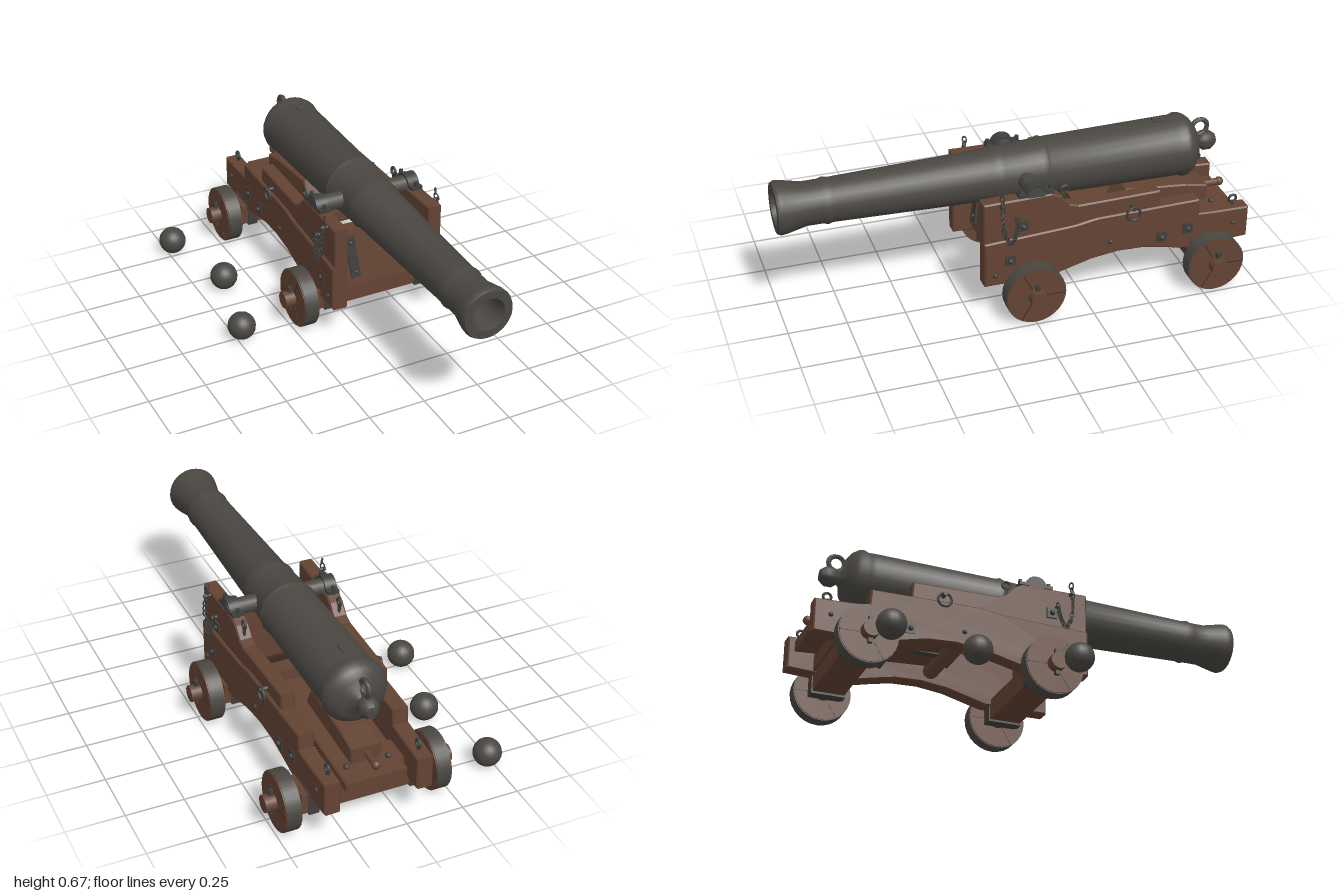
import * as THREE from 'three';
import { toCreasedNormals } from 'three/addons/utils/BufferGeometryUtils.js';

const CX = 0.127; // centre line of the gun
const mat = (name, color) => Object.assign(new THREE.MeshStandardMaterial({ color }), { name });

export function createModel() {
  const model = new THREE.Group();
  const wood = mat('wood', 0x634333);
  const seam = mat('dark wood seam', 0x3c2a20);
  const iron = mat('iron', 0x4a4742);
  const fitting = mat('dark iron fittings', 0x3e3e3c);

  const add = (parent, name, geo, material, x = 0, y = 0, z = 0) => {
    const m = new THREE.Mesh(geo, material);
    m.name = name;
    m.position.set(x, y, z);
    parent.add(m);
    return m;
  };
  const group = (parent, name, x = 0, y = 0, z = 0) => {
    const g = new THREE.Group();
    g.name = name;
    g.position.set(x, y, z);
    parent.add(g);
    return g;
  };
  const box = (w, h, d) => new THREE.BoxGeometry(w, h, d);
  const rodX = (r, len, n = 16) => new THREE.CylinderGeometry(r, r, len, n).rotateZ(Math.PI / 2);
  const ringX = (r, t) => new THREE.TorusGeometry(r, t, 6, 14).rotateY(Math.PI / 2);
  // Side outline given as (z, y) pairs, extruded across x and centred
  const slab = (points, width, bevel = 0.006) => {
    const shape = new THREE.Shape(points.map(([z, y]) => new THREE.Vector2(z, y)));
    const depth = width - 2 * bevel;
    return new THREE.ExtrudeGeometry(shape, {
      depth, bevelEnabled: bevel > 0, bevelThickness: bevel, bevelSize: bevel, bevelOffset: -bevel, bevelSegments: 1,
    }).translate(0, 0, -depth / 2).rotateY(-Math.PI / 2);
  };

  const gun = group(model, 'gun', CX, 0.53, 0);
  // Barrel turned from knob to muzzle, then back down the bore
  const profile = [
    [0, -0.93], [0.025, -0.925], [0.043, -0.9], [0.043, -0.87], [0.028, -0.85], [0.04, -0.835],
    [0.09, -0.82], [0.12, -0.798], [0.135, -0.775], [0.139, -0.755], [0.131, -0.735], [0.132, -0.71],
    [0.124, -0.15], [0.13, -0.135], [0.122, -0.115], [0.115, 0.05], [0.119, 0.07], [0.111, 0.09],
    [0.093, 0.77], [0.098, 0.79], [0.092, 0.81], [0.092, 0.88], [0.111, 0.965], [0.113, 0.985],
    [0.106, 1], [0.072, 1], [0.064, 0.97], [0.057, 0.5], [0, 0.5],
  ].map(([r, z]) => new THREE.Vector2(r, z));
  add(gun, 'barrel', toCreasedNormals(new THREE.LatheGeometry(profile, 28).rotateX(Math.PI / 2), 0.7), iron);
  add(gun, 'trunnions', rodX(0.037, 0.49), iron, 0, 0.008, -0.035);
  add(gun, 'breechLoop', ringX(0.035, 0.011), iron, 0, 0.068, -0.855);
  add(gun, 'ventPatch', box(0.03, 0.012, 0.05), iron, 0, 0.131, -0.66);

  // Stepped side cheeks: lower and upper planks
  const lowerPlank = [
    [0.195, 0.15], [0.195, 0.355], [-0.2, 0.37], [-0.3, 0.385], [-0.765, 0.385], [-0.77, 0.315], [-0.84, 0.31],
    [-1, 0.305], [-1, 0.16], [-0.72, 0.15], [-0.62, 0.175], [-0.52, 0.197], [-0.4, 0.203], [-0.28, 0.19],
    [-0.18, 0.165], [-0.1, 0.145],
  ].reverse();
  const upperPlank = [
    [0.195, 0.352], [0.195, 0.535], [-0.1, 0.535], [-0.14, 0.515], [-0.18, 0.47], [-0.22, 0.457],
    [-0.585, 0.457], [-0.59, 0.382], [-0.3, 0.382], [-0.2, 0.366],
  ].reverse();
  const chainCurve = new THREE.CatmullRomCurve3([
    [0, 0.56, 0.12], [0.012, 0.47, 0.122], [0.014, 0.39, 0.11], [0.018, 0.355, 0.085], [0.014, 0.4, 0.062], [0.006, 0.45, 0.055],
  ].map((p) => new THREE.Vector3(...p)));
  const up = new THREE.Vector3(0, 1, 0);

  for (const s of [-1, 1]) {
    const side = group(model, s > 0 ? 'leftCheek' : 'rightCheek', CX + s * 0.219, 0, 0);
    side.rotation.y = s * 0.026;
    add(side, 'lowerPlank', slab(lowerPlank, 0.07), wood, s * 0.005);
    add(side, 'upperPlank', slab(upperPlank, 0.062), wood, -s * 0.002);
    const face = s * 0.04;

    // Cap over the trunnion: arched strap with two flat feet
    const cap = new THREE.Shape();
    cap.moveTo(0.075, 0);
    cap.lineTo(0.075, 0.014);
    cap.lineTo(0.047, 0.014);
    cap.absarc(0, 0, 0.049, 0.3, Math.PI - 0.3, false);
    cap.lineTo(-0.075, 0.014);
    cap.lineTo(-0.075, 0);
    const capGeo = new THREE.ExtrudeGeometry(cap, { depth: 0.052, bevelEnabled: false, curveSegments: 10 });
    add(side, 'trunnionCap', capGeo.translate(0, 0, -0.026).rotateY(-Math.PI / 2), fitting, 0, 0.536, -0.035);
    for (const z of [0.03, -0.1]) add(side, 'capBolt', new THREE.CylinderGeometry(0.009, 0.009, 0.05, 8), fitting, 0, 0.545, z);

    // Square washers with round bolt heads on the outer face
    for (const [z, y] of [[0.03, 0.415], [0.085, 0.26], [-0.595, 0.235], [-0.715, 0.255]]) {
      const plate = add(side, 'washer', box(0.009, 0.046, 0.046), fitting, face, y, z);
      add(plate, 'boltHead', new THREE.SphereGeometry(0.012, 8, 6), fitting, s * 0.006);
    }
    for (const [z, y] of [[-0.36, 0.26], [-0.93, 0.24], [0.15, 0.2]]) {
      add(side, 'rivet', new THREE.SphereGeometry(0.011, 8, 6), fitting, face, y, z);
    }
    // Tackle rings and eye bolts
    add(side, 'ringBolt', rodX(0.009, 0.05, 8), fitting, s * 0.04, 0.41, -0.455);
    add(side, 'tackleRing', ringX(0.03, 0.006), fitting, s * 0.055, 0.385, -0.455);
    for (const [z, y] of [[-0.165, 0.53], [-0.94, 0.335]]) {
      add(side, 'eyeBolt', ringX(0.017, 0.006), fitting, 0, y, z);
      add(side, 'eyeBoltShank', new THREE.CylinderGeometry(0.007, 0.007, 0.06, 6), fitting, 0, y - 0.04, z);
    }
    // Keeper chain
    const chain = group(side, 'chain', s * 0.042);
    const links = 18;
    for (let i = 0; i <= links; i++) {
      const p = chainCurve.getPoint(i / links);
      const t = chainCurve.getTangent(i / links);
      const link = add(chain, 'chainLink', new THREE.TorusGeometry(0.012, 0.0038, 4, 8).scale(0.8, 1.2, 1)
        .rotateY(i % 2 ? 0.3 : 0.3 + Math.PI / 2), fitting, s * p.x, p.y, p.z);
      link.quaternion.setFromUnitVectors(up, t);
    }
    add(side, 'chainPin', rodX(0.008, 0.05, 8), fitting, s * 0.03, 0.45, 0.055);
    add(side, 'chainHook', rodX(0.008, 0.06, 8), fitting, s * 0.03, 0.52, 0.12);
  }

  // Axles with four truck wheels
  for (const [label, z, r] of [['front', 0, 0.13], ['rear', -0.805, 0.127]]) {
    const axle = group(model, label + 'Axle', CX, 0.132, z);
    add(axle, 'axleBeam', box(0.545, 0.09, 0.14), wood);
    add(axle, 'axleArms', rodX(0.037, 0.814), wood);
    for (const s of [-1, 1]) {
      add(axle, 'axleBand', box(0.045, 0.105, 0.15), fitting, s * 0.22, -0.002);
      add(axle, 'axleCollar', rodX(0.043, 0.02), fitting, s * 0.28);
      add(axle, 'linchpin', box(0.018, 0.115, 0.018), fitting, s * 0.374, 0.003);
      const wheel = group(axle, 'wheel', s * 0.326, r - 0.132);
      add(wheel, 'wheelDisc', rodX(r - 0.004, 0.068, 28), wood);
      const tyre = new THREE.CylinderGeometry(r, r, 0.06, 28, 1, true).rotateZ(Math.PI / 2);
      add(wheel, 'tyre', tyre, iron);
      for (const e of [-1, 1]) {
        add(wheel, 'tyreEdge', new THREE.RingGeometry(r - 0.006, r, 28).rotateY(e * Math.PI / 2), iron, e * 0.03);
        for (let k = 0; k < 3; k++) {
          const a = 0.5 + k * Math.PI * 2 / 3;
          const line = add(wheel, 'boardSeam', box(0.002, r - 0.045, 0.004), seam, e * 0.034, Math.cos(a) * 0.08, Math.sin(a) * 0.08);
          line.rotation.x = a;
        }
      }
    }
  }

  // Front transom boards and their two slanting straps
  const transom = group(model, 'frontTransom', CX, 0, 0);
  add(transom, 'upperBoard', slab([[0.03, 0.34], [0.105, 0.34], [0.09, 0.455], [0.03, 0.455]], 0.38), wood);
  add(transom, 'lowerBoard', slab([[0.03, 0.2], [0.125, 0.2], [0.105, 0.336], [0.03, 0.336]], 0.38), wood);
  add(transom, 'shadowGap', box(0.37, 0.03, 0.05), seam, 0, 0.187, 0.035);
  for (const s of [-1, 1]) {
    const strap = group(transom, 'strap', s * 0.127, 0.333, 0.112);
    strap.rotation.set(-0.14, 0, -s * 0.12);
    add(strap, 'strapPlate', box(0.044, 0.19, 0.009), fitting);
    for (const y of [-0.07, 0.07]) add(strap, 'strapBolt', new THREE.SphereGeometry(0.01, 8, 6), fitting, 0, y, 0.004);
    add(transom, 'transomBolt', new THREE.SphereGeometry(0.011, 8, 6), fitting, s * 0.12, 0.19, 0.07);
  }

  // Rear transom, bed, quoin and its handle
  const rear = group(model, 'rearBed', CX, 0, 0);
  add(rear, 'rearTransom', box(0.34, 0.07, 0.13), wood, 0, 0.2, -0.82);
  add(rear, 'bedPlank', slab([[-0.98, 0.22], [-0.98, 0.265], [-0.3, 0.305], [-0.3, 0.26]].reverse(), 0.265), wood);
  add(rear, 'bedBolster', rodX(0.035, 0.37, 10), wood, 0, 0.255, -0.36);
  add(rear, 'quoin', slab([[-0.88, 0.265], [-0.88, 0.34], [-0.78, 0.36], [-0.5, 0.385], [-0.45, 0.29]].reverse(), 0.13), wood);
  add(rear, 'quoinHandle', new THREE.CylinderGeometry(0.013, 0.016, 0.1, 10).rotateX(Math.PI / 2), wood, 0, 0.31, -0.92);
  add(rear, 'quoinKnob', new THREE.SphereGeometry(0.02, 10, 8), wood, 0, 0.31, -0.965);
  for (const s of [-1, 1]) add(rear, 'bedBolt', new THREE.SphereGeometry(0.013, 8, 6), fitting, s * 0.09, 0.275, -0.89);
  add(rear, 'crossRod', rodX(0.009, 0.46, 8), fitting, 0, 0.235, -0.595);
  add(rear, 'bedStrap', box(0.04, 0.009, 0.2), fitting, 0, 0.253, -0.45);

  // Round shot beside the carriage
  for (const [x, z] of [[-0.475, 0], [-0.385, -0.4], [-0.475, -0.79]]) {
    add(model, 'roundShot', new THREE.SphereGeometry(0.061, 20, 14), iron, x, 0.061, z);
  }
  return model;
}
